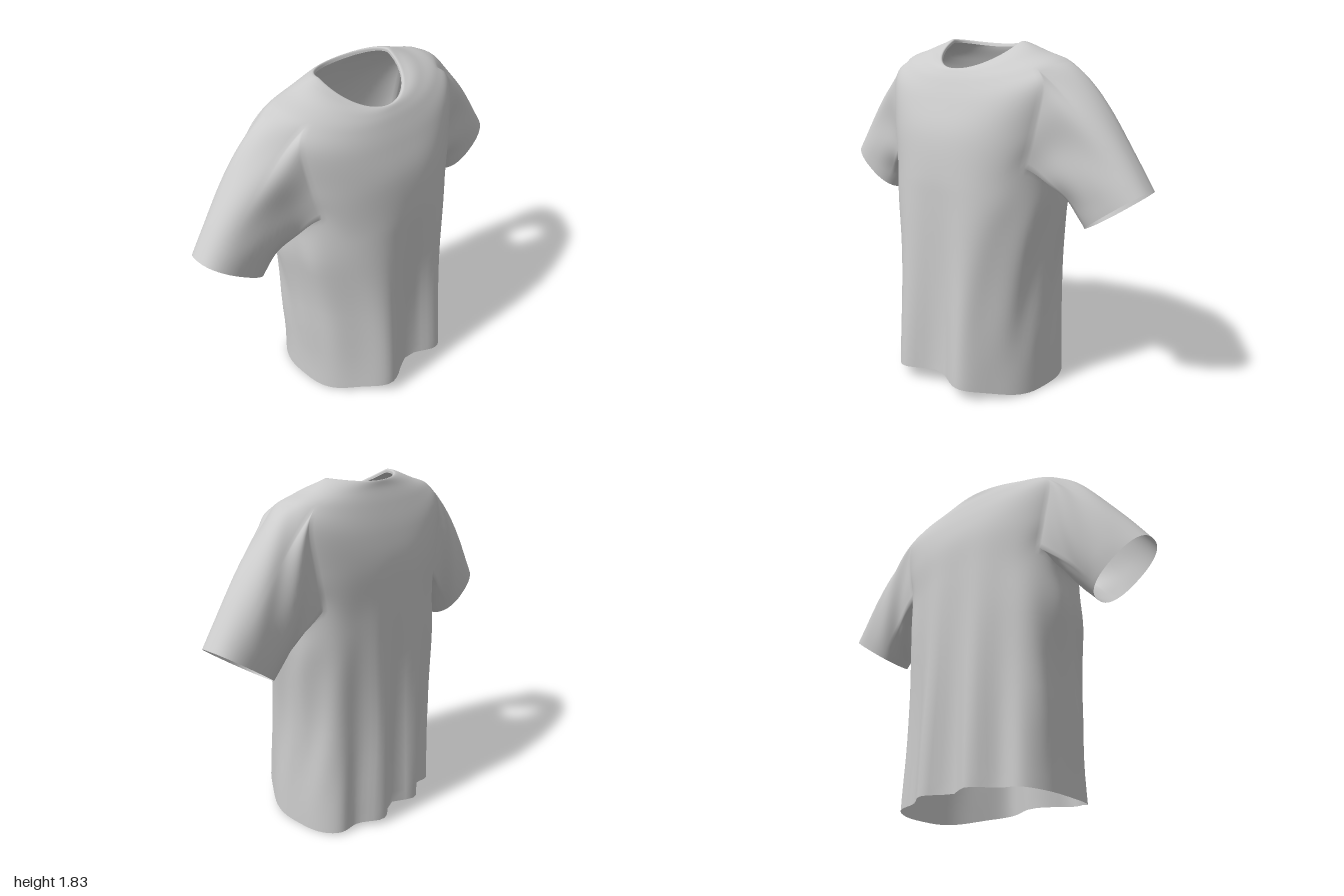
import * as THREE from 'three';

const COLS = 96, STEPS = 6;   // columns round the body, rows per key section
const HALF = 8;               // half width of an armhole, in columns
const ARM_LOW = 3 * STEPS, ARM_HIGH = 6 * STEPS; // armhole rows
const SLEEVE_ROWS = 22;

// Body sections from hem to collar:
// y front, y side, y back, half width, z front, z side, z back, squareness
const KEYS = [
  [0.08, 0.00, 0.03, 0.46, 0.375, -0.07, -0.378, 2.9],
  [0.60, 0.58, 0.60, 0.45, 0.355, -0.08, -0.372, 2.7],
  [1.00, 0.98, 1.00, 0.49, 0.345, -0.09, -0.368, 2.5],
  [1.18, 1.17, 1.22, 0.50, 0.338, -0.09, -0.364, 2.4],
  [1.38, 1.42, 1.42, 0.54, 0.312, -0.10, -0.355, 2.4],
  [1.53, 1.665, 1.57, 0.57, 0.260, -0.10, -0.320, 2.4],
  [1.63, 1.742, 1.70, 0.50, 0.215, -0.11, -0.270, 2.3],
  [1.675, 1.785, 1.775, 0.37, 0.190, -0.11, -0.235, 2.2],
  [1.70, 1.832, 1.812, 0.245, 0.170, -0.08, -0.222, 2.0],
  [1.69, 1.815, 1.795, 0.228, 0.150, -0.08, -0.210, 2.0],
];
const ROWS = (KEYS.length - 1) * STEPS;

// Smooth interpolation between the key sections
function section(row) {
  const k = Math.min(Math.floor(row / STEPS), KEYS.length - 2);
  const t = row / STEPS - k;
  const at = (i) => KEYS[Math.max(0, Math.min(KEYS.length - 1, i))];
  const [a, b, c, d] = [at(k - 1), at(k), at(k + 1), at(k + 2)];
  return b.map((v, i) => v + 0.5 * t * (c[i] - a[i]
    + t * (2 * a[i] - 5 * v + 4 * c[i] - d[i] + t * (3 * (v - c[i]) + d[i] - a[i]))));
}

const power = (v, e) => Math.sign(v) * Math.pow(Math.abs(v), e);

// One point of the body, with hanging folds that deepen towards the hem
function bodyPoint(row, col) {
  const [yF, yS, yB, width, zF, zS, zB, n] = section(row);
  const a = (col / COLS) * Math.PI * 2;
  const c = Math.cos(a), s = Math.sin(a);
  const front = s > 0;
  // the front neckline is a broad scoop
  const scoop = front ? 2 - 0.9 * THREE.MathUtils.smoothstep(row, 7 * STEPS, 8 * STEPS) : 2;
  let y = yS + ((front ? yF : yB) - yS) * Math.pow(Math.abs(s), scoop);
  let x = width * power(c, 2 / n);
  let z = zS + Math.abs(power(s, 2 / n)) * ((front ? zF : zB) - zS);
  const fade = 1 - THREE.MathUtils.smoothstep(y, 0.1, front ? 1.35 : 1.5);
  const depth = front
    ? -0.045 * Math.cos((x - 0.02) * Math.PI / 0.22)
    : -0.036 * Math.cos((x - 0.015) * Math.PI / 0.14);
  z += (front ? 1 : -1) * depth * fade * s * s;
  // the front corners hang inwards
  if (front) x *= 1 - 0.28 * fade * s * s * c * c;
  // soft pull folds down the sides
  const sway = THREE.MathUtils.smoothstep(y, 0.1, 0.5) * (1 - THREE.MathUtils.smoothstep(y, 0.9, 1.15));
  x += sway * c * c * (x > 0 ? -0.006 : -0.018) + sway * c * 0.008 * Math.sin(z * 28 + y * 5);
  // round the lower corners of the armholes
  const fromSide = Math.abs(Math.asin(s)) / (Math.PI * 2) * COLS;
  y += 0.07 * Math.exp(-(((row - ARM_LOW) / 4) ** 2) - ((fromSide - HALF) / 3.5) ** 2);
  return [x, y, z];
}

// Columns and rows round the edge of an armhole, as [dCol, row]
function armholeLoop() {
  const loop = [];
  for (let c = -HALF; c < HALF; c++) loop.push([c, ARM_LOW]);
  for (let r = ARM_LOW; r < ARM_HIGH; r++) loop.push([HALF, r]);
  for (let c = HALF; c > -HALF; c--) loop.push([c, ARM_HIGH]);
  for (let r = ARM_HIGH; r > ARM_LOW; r--) loop.push([-HALF, r]);
  return loop;
}

export function createModel() {
  const positions = [];
  const faces = { body: [], collar: [], leftSleeve: [], rightSleeve: [] };
  const quad = (list, a, b, c, d) => list.push(a, b, c, a, c, d);
  const id = (r, c) => r * COLS + ((c + COLS) % COLS);

  // Body and collar, leaving the two armholes open
  for (let r = 0; r <= ROWS; r++)
    for (let c = 0; c < COLS; c++) positions.push(...bodyPoint(r, c));
  for (let r = 0; r < ROWS; r++) {
    for (let c = 0; c < COLS; c++) {
      const nearSide = [0, COLS / 2, COLS].some((m) => c >= m - HALF && c < m + HALF);
      if (nearSide && r >= ARM_LOW && r < ARM_HIGH) continue;
      const list = r >= ROWS - STEPS - 2 ? faces.collar : faces.body;
      quad(list, id(r, c + 1), id(r, c), id(r + 1, c), id(r + 1, c + 1));
    }
  }

  // Sleeves: each edge point of the armhole follows a bend out to the cuff
  const loop = armholeLoop();
  const L = loop.length;
  for (const side of [1, -1]) {
    const list = side > 0 ? faces.leftSleeve : faces.rightSleeve;
    const middle = side > 0 ? 0 : COLS / 2;
    const start = positions.length / 3;
    for (let t = 1; t <= SLEEVE_ROWS; t++) {
      const k = t / SLEEVE_ROWS;
      for (const [dc, r] of loop) {
        const P = bodyPoint(r, middle + dc);
        const up = (2 * (r - ARM_LOW)) / (ARM_HIGH - ARM_LOW) - 1;
        const ang = Math.atan2((side * dc) / HALF, up);
        const u = Math.cos(ang), v = Math.sin(ang);
        const cu = power(u, 0.85), cv = power(v, 0.8);
        const bend = [side * (0.615 + 0.04 * u), 1.375 + 0.31 * u, -0.095 + 0.172 * v];
        const cuff = [side * (0.84 + 0.16 * cu), 1.055 + 0.115 * cu, -0.085 + 0.13 * cv];
        const p = P.map((q, i) =>
          (1 - k) * (1 - k) * q + 2 * k * (1 - k) * bend[i] + k * k * cuff[i]);
        // light wrinkles across the sleeve
        const wrinkle = 0.006 * Math.sin(Math.PI * Math.min(1, k * 1.1)) * Math.sin(5 * ang + 7 * k);
        p[1] += wrinkle * u;
        p[2] += wrinkle * v * 1.5;
        positions.push(...p);
      }
    }
    const sid = (t, i) => {
      const j = i % L;
      return t === 0 ? id(loop[j][1], middle + loop[j][0]) : start + (t - 1) * L + j;
    };
    for (let t = 0; t < SLEEVE_ROWS; t++)
      for (let i = 0; i < L; i++)
        quad(list, sid(t, i), sid(t + 1, i), sid(t + 1, i + 1), sid(t, i + 1));
  }

  // Normals come from the whole garment, so the parts join without seams
  const whole = new THREE.BufferGeometry();
  whole.setAttribute('position', new THREE.Float32BufferAttribute(positions, 3));
  whole.setIndex(Object.values(faces).flat());
  whole.computeVertexNormals();

  const material = new THREE.MeshStandardMaterial({ color: 0xcccccc, side: THREE.DoubleSide });
  const group = new THREE.Group();
  group.name = 'shirt';
  for (const [name, index] of Object.entries(faces)) {
    whole.setIndex(index);
    const mesh = new THREE.Mesh(whole.toNonIndexed(), material);
    mesh.name = name;
    group.add(mesh);
  }
  return group;
}
